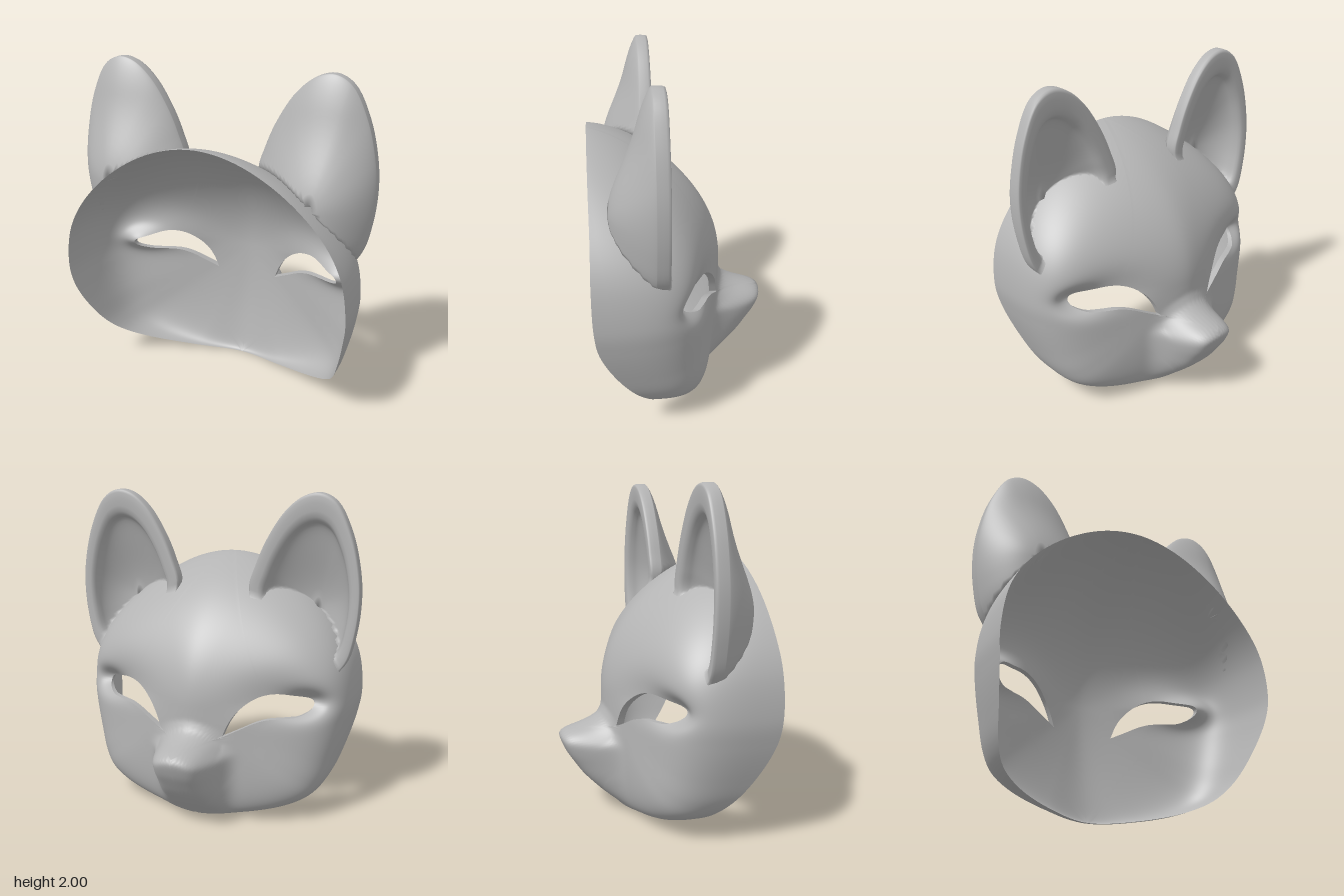
import * as THREE from 'three';
import { mergeGeometries, mergeVertices } from 'three/addons/utils/BufferGeometryUtils.js';

const V = (x, y, z = 0) => new THREE.Vector3(x, y, z);
const CY = 0.75, FRONT = -0.265; // middle of the face
const { lerp, clamp, smoothstep } = THREE.MathUtils;
const hill = (dx, dy) => Math.exp(-dx * dx - dy * dy);

// Rim of the mask, half of it, from forehead to chin
const rimHalf = [[0, 1.6, .53], [.25, 1.555, .53], [.52, 1.41, .53], [.74, 1.2, .53], [.85, 1, .535], [.887, .75, .53],
  [.87, .6, .505], [.82, .4, .41], [.765, .25, .3], [.69, .155, .2], [.55, .085, .1], [.3, .028, -.02], [0, 0, -.11]];
const rimPts = [[-.25, 1.555, .53], ...rimHalf, [-.3, .028, -.02]].map(p => V(...p));
const rimTable = new THREE.CatmullRomCurve3(rimPts).getPoints(420)
  .map(p => ({ a: Math.atan2(p.x, p.y - CY), r: Math.hypot(p.x, p.y - CY), z: p.z }))
  .filter((p, i) => i > 20 && i < 400 && (i < 210 || p.a > 0));

// Rim radius and depth in direction a (0 is up, PI is down)
function rimAt(a) {
  let i = 1;
  while (i < rimTable.length - 1 && rimTable[i].a < a) i++;
  const p = rimTable[i - 1], q = rimTable[i];
  const t = clamp((a - p.a) / (q.a - p.a), 0, 1);
  return { r: lerp(p.r, q.r, t), z: lerp(p.z, q.z, t) };
}

// Muzzle height along y
const muzzle = [[0, 0], [.06, .02], [.14, .09], [.24, .17], [.38, .25], [.45, .275], [.49, .282], [.52, .245], [.56, .11], [.6, .03], [.66, 0]];
function muzzleAt(y) {
  if (y <= 0 || y >= .66) return 0;
  const i = muzzle.findIndex(p => p[0] > y), p = muzzle[i - 1], q = muzzle[i];
  return lerp(p[1], q[1], (y - p[0]) / (q[0] - p[0]));
}
// Rounded across, with the top of the nose falling off to the sides
function muzzleBump(x, y) {
  const t = y + 2 * Math.min(x, .2) ** 2 * smoothstep(y, .3, .5);
  const h = (muzzleAt(t - .014) + 2 * muzzleAt(t) + muzzleAt(t + .014)) / 4;
  return h * (1 - smoothstep(x, .18, .32)) / (1 + Math.pow(x / .19, 6));
}

// Depth of the face in direction a, at fraction s of the way to the rim
function faceZ(a, s, x, y, rimZ, inner) {
  const c = Math.cos(a), e = .25 + (c > 0 ? .42 : inner ? .3 : .1) * c * c;
  const bowl = Math.max(0, 1 - s * s), fade = 1 - Math.pow(s, 8);
  let z = FRONT + (rimZ - FRONT) * (1 - Math.pow(bowl, e));
  z += .24 * (Math.hypot(x, .1) - .1) * Math.pow(bowl, 1.5); // sides swept back from the middle
  z += .05 * fade * hill((x - .55) / .23, (y - .79) / (y > .79 ? .14 : .09)); // eye socket
  z += .1 * fade * hill((x - .68) / .13, (y - .775) / .075); // recessed outer corner of the eye
  if (inner) return z + .04 * fade;
  return z - muzzleBump(x, y);
}

// Flat disc (radius 1) <-> face
function toDisc(x, y) {
  const a = Math.atan2(x, y - CY), s = Math.min(1, Math.hypot(x, y - CY) / rimAt(a).r);
  const w = 1 - Math.sqrt(1 - s);
  return V(w * Math.sin(a), w * Math.cos(a));
}
function toFace(p, inner) {
  let w = Math.hypot(p.x, p.y);
  if (w > .9995) w = 1;
  const a = Math.atan2(Math.max(0, p.x), p.y), s = 1 - (1 - w) ** 2, rim = rimAt(a);
  const x = p.x < 1e-5 ? 0 : rim.r * s * Math.sin(a), y = CY + rim.r * s * Math.cos(a);
  return V(x, y, faceZ(a, s, x, y, rim.z, inner));
}
function surfaceZ(x, y) {
  const a = Math.atan2(x, y - CY), rim = rimAt(a), s = Math.hypot(x, y - CY) / rim.r;
  return s >= 1 ? Infinity : faceZ(a, s, x, y, rim.z, false);
}

// Skin over closed rows of points
function skin(rows, flip) {
  const n = rows[0].length, index = [];
  for (let k = 0; k < rows.length - 1; k++) for (let j = 0; j < n; j++) {
    const a = k * n + j, b = k * n + (j + 1) % n, c = a + n, d = b + n;
    index.push(...(flip ? [a, d, c, a, b, d] : [a, c, d, a, d, b]));
  }
  const g = new THREE.BufferGeometry().setFromPoints(rows.flat());
  g.setIndex(index);
  return g;
}
function mirrored(g) {
  const m = g.clone().scale(-1, 1, 1);
  m.setIndex(Array.from(g.index.array).reverse());
  return m;
}
function smooth(...parts) {
  const g = mergeVertices(mergeGeometries(parts), 1e-5);
  g.computeVertexNormals();
  return g;
}

// Where a ray from o in direction phi leaves a closed outline
function rayHit(o, phi, line) {
  const dx = Math.cos(phi), dy = Math.sin(phi);
  let best = 0;
  for (let i = 0; i < line.length; i++) {
    const p = line[i], q = line[(i + 1) % line.length];
    const ex = q.x - p.x, ey = q.y - p.y, det = ex * dy - ey * dx;
    if (Math.abs(det) < 1e-12) continue;
    const px = p.x - o.x, py = p.y - o.y;
    const t = (ex * py - ey * px) / det, u = (dx * py - dy * px) / det;
    if (t > 0 && u >= -1e-6 && u <= 1 + 1e-6) best = Math.max(best, t);
  }
  return V(o.x + dx * best, o.y + dy * best);
}

// Rows of points from the eye opening to the rim and the middle line
function faceRows() {
  const eyePts = [[.2, .57], [.235, .655], [.28, .725], [.35, .79], [.42, .825], [.5, .835], [.6, .812], [.68, .785],
    [.692, .76], [.68, .73], [.62, .697], [.55, .69], [.45, .682], [.38, .66], [.3, .62], [.2, .57]];
  const eye = new THREE.CatmullRomCurve3(eyePts.map(p => V(...p))).getPoints(150).slice(0, -1).map(p => toDisc(p.x, p.y));
  const half = [];
  for (let i = 0; i <= 300; i++) half.push(V(Math.sin(Math.PI * i / 300), Math.cos(Math.PI * i / 300)));
  const o = toDisc(.45, .745);
  const angles = [eye[0], half[0], half[300]].map(p => Math.atan2(p.y - o.y, p.x - o.x));
  for (let i = 0; i < 180; i++) angles.push(-Math.PI + (i + .37) * Math.PI / 90);
  angles.sort((a, b) => a - b);
  const inside = angles.map(f => rayHit(o, f, eye)), outside = angles.map(f => rayHit(o, f, half));
  const rows = [];
  for (let k = 0; k <= 44; k++) rows.push(inside.map((p, j) => p.clone().lerp(outside[j], k / 44)));
  return rows;
}

// Ear: domed back thinning towards the tip, thick lip and scooped front, seated on the face
function earGeometry() {
  const outline = [[.66, 2], [.755, 1.95], [.85, 1.77], [.905, 1.55], [.918, 1.38], [.9, 1.18], [.85, 1], [.77, .92],
    [.64, .96], [.47, 1.1], [.31, 1.25], [.235, 1.42], [.275, 1.57], [.345, 1.73], [.45, 1.89], [.56, 1.98]];
  const loop = new THREE.CatmullRomCurve3(outline.map(p => V(...p)), true).getPoints(96).slice(0, -1);
  const rings = []; // size, edge depth, bulge
  for (let i = 0; i <= 20; i++) {
    const q = Math.sin(i / 20 * Math.PI / 2);
    rings.push([q, .19, .245 * Math.pow(Math.max(0, 1 - q * q), .8)]);
  }
  for (const [q, z] of [[1, .16], [.998, .135], [.99, .122], [.97, .118], [.92, .118], [.85, .12], [.8, .128], [.77, .145], [.75, .17]])
    rings.push([q, z, 0]);
  for (let i = 1; i <= 14; i++) {
    const q = Math.cos(i / 14 * Math.PI / 2);
    rings.push([.75 * q, .17, .17 * Math.pow(1 - q * q, .6)]);
  }
  return skin(rings.map(([q, z, bulge]) => loop.map(p => {
    const x = lerp(.62, p.x, q), y = lerp(1.3, p.y, q);
    const taper = 1 - .42 * smoothstep(y, 1.3, 1.8);
    return V(x, y, Math.min(z + bulge * taper, surfaceZ(x, y) + .004));
  })), true);
}

export function createModel() {
  const group = new THREE.Group();
  const grey = new THREE.MeshStandardMaterial({ color: 0xb4b4b4, side: THREE.DoubleSide });
  grey.name = 'plain grey';
  const add = (name, g) => {
    const mesh = new THREE.Mesh(g, grey);
    mesh.name = name;
    group.add(mesh);
  };

  // Mask shell
  const rows = faceRows();
  const outer = rows.map(r => r.map(p => toFace(p, false)));
  const inner = rows.map(r => r.map(p => toFace(p, true)));
  const outerHalf = skin(outer, true), innerHalf = skin(inner, false);
  add('maskFace', smooth(outerHalf, mirrored(outerHalf)));
  add('maskLining', smooth(innerHalf, mirrored(innerHalf)));

  // Walls of the eye openings
  const wall = skin([inner[0], outer[0]], true);
  add('leftEyeEdge', smooth(wall));
  add('rightEyeEdge', smooth(mirrored(wall)));

  // Ears
  const ear = earGeometry();
  add('leftEar', smooth(ear));
  add('rightEar', smooth(mirrored(ear)));
  return group;
}
